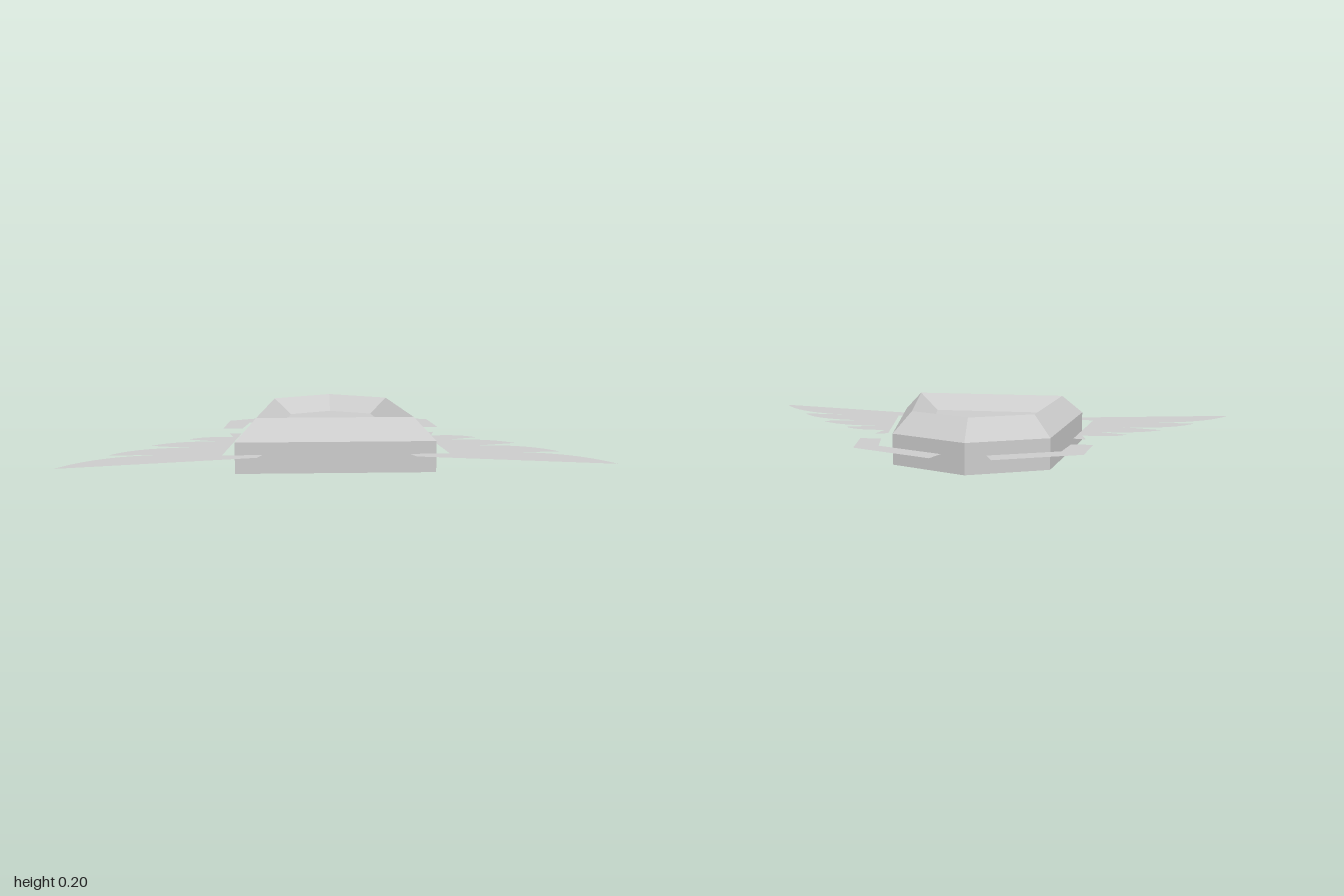
import * as THREE from 'three';

const material = new THREE.MeshStandardMaterial({ color: 0xcccccc, flatShading: true });
const sheetMaterial = new THREE.MeshStandardMaterial({ color: 0xcccccc, side: THREE.DoubleSide });
const SHEET_Y = 0.08;

// Five-sided ring, counterclockwise from above
function ring(y, frontX, frontZ, backX, backZ, apexZ) {
  return [
    [frontX, y, frontZ], [backX, y, backZ], [0, y, apexZ],
    [-backX, y, backZ], [-frontX, y, frontZ],
  ];
}

// Skin between consecutive rings, capped at both ends
function loft(rings) {
  const pos = [];
  const tri = (a, b, c) => pos.push(...a, ...b, ...c);
  const n = rings[0].length;
  for (let r = 0; r < rings.length - 1; r++) {
    for (let i = 0; i < n; i++) {
      const j = (i + 1) % n;
      const lo = rings[r], hi = rings[r + 1];
      tri(lo[i], lo[j], hi[j]);
      tri(lo[i], hi[j], hi[i]);
    }
  }
  const first = rings[0], last = rings[rings.length - 1];
  for (let i = 1; i < n - 1; i++) {
    tri(first[0], first[i + 1], first[i]);
    tri(last[0], last[i], last[i + 1]);
  }
  const geometry = new THREE.BufferGeometry();
  geometry.setAttribute('position', new THREE.Float32BufferAttribute(pos, 3));
  geometry.computeVertexNormals();
  return geometry;
}

// Flat horizontal sheet; a step of 2 numbers is a line, 4 numbers a curve (control, end)
function sheet(name, steps, side) {
  const shape = new THREE.Shape();
  steps.forEach((s, i) => {
    if (i === 0) shape.moveTo(side * s[0], -s[1]);
    else if (s.length === 2) shape.lineTo(side * s[0], -s[1]);
    else shape.quadraticCurveTo(side * s[0], -s[1], side * s[2], -s[3]);
  });
  const geometry = new THREE.ShapeGeometry(shape, 12);
  geometry.rotateX(-Math.PI / 2);
  const mesh = new THREE.Mesh(geometry, sheetMaterial);
  mesh.name = name;
  mesh.position.y = SHEET_Y;
  return mesh;
}

export function createModel() {
  const group = new THREE.Group();
  group.name = 'wingedBadge';

  // Base wall, bevel up to the rim, bevel down to the recessed floor
  const body = new THREE.Mesh(loft([
    ring(0, 0.38, 0.29, 0.30, -0.31, -0.45),
    ring(0.12, 0.38, 0.29, 0.30, -0.31, -0.45),
    ring(0.2, 0.30, 0.215, 0.235, -0.26, -0.37),
    ring(0.14, 0.215, 0.14, 0.167, -0.212, -0.287),
  ]), material);
  body.name = 'body';
  group.add(body);

  // Four feathers, each a curved leading edge and a straight notch
  const wing = [
    [0.37, -0.096], [0.42, -0.107], [0.4, -0.025],
    [0.52, -0.045, 0.575, 0.018], [0.455, 0.063],
    [0.62, 0.05, 0.71, 0.14], [0.555, 0.183],
    [0.755, 0.175, 0.845, 0.312], [0.66, 0.312],
    [0.89, 0.335, 1, 0.532],
    [0.295, 0.377], [0.275, 0.33], [0.425, 0.328],
  ];
  // Bent strip around the rear corner
  const bracket = [
    [0.112, -0.545], [0.43, -0.4], [0.453, -0.212],
    [0.37, -0.212], [0.345, -0.35], [0.083, -0.467],
  ];
  for (const [label, side] of [['left', 1], ['right', -1]]) {
    group.add(sheet(label + 'Wing', wing, side));
    group.add(sheet(label + 'RearBracket', bracket, side));
  }
  return group;
}
